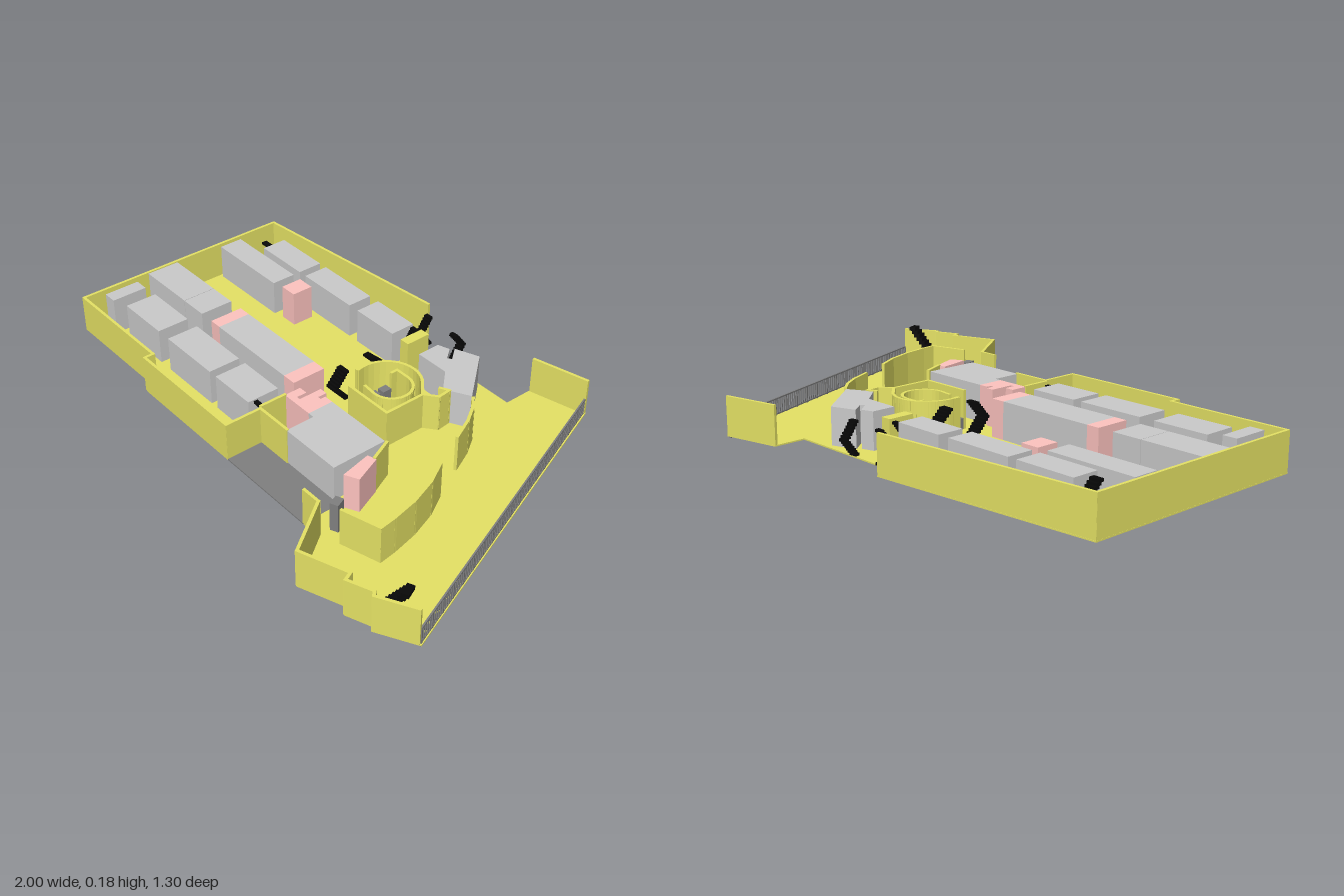
import * as THREE from 'three';

const mat = (color) => new THREE.MeshStandardMaterial({ color, flatShading: true });
const OLIVE = mat(0xe6e365), GREY = mat(0xcccccc), PINK = mat(0xffc4c0);
const DARK = mat(0x808080), BLACK = mat(0x080808);
const FLOOR = 0.02, TOP = 0.16, THICK = 0.011;

export function createModel() {
  const model = new THREE.Group();

  const add = (parent, name, geometry, material) => {
    const mesh = new THREE.Mesh(geometry, material);
    mesh.name = name;
    parent.add(mesh);
    return mesh;
  };

  // Upright block on a plan outline of [x, z] points
  const prism = (name, pts, y0, y1, material) => {
    const shape = new THREE.Shape(pts.map(([x, z]) => new THREE.Vector2(x, -z)));
    const geo = new THREE.ExtrudeGeometry(shape, { depth: y1 - y0, bevelEnabled: false });
    geo.rotateX(-Math.PI / 2).translate(0, y0, 0);
    return add(model, name, geo, material);
  };

  const block = (name, x0, x1, z0, z1, material, y0 = FLOOR, y1 = 0.156) => {
    const geo = new THREE.BoxGeometry(x1 - x0, y1 - y0, z1 - z0);
    geo.translate((x0 + x1) / 2, (y0 + y1) / 2, (z0 + z1) / 2);
    return add(model, name, geo, material);
  };

  // Thin wall following a plan path
  const wall = (name, pts, y1 = TOP, thick = THICK) => {
    const group = new THREE.Group();
    group.name = name;
    for (let i = 1; i < pts.length; i++) {
      const [ax, az] = pts[i - 1], [bx, bz] = pts[i];
      const length = Math.hypot(bx - ax, bz - az) + thick * 0.8;
      const m = add(group, name + 'Panel', new THREE.BoxGeometry(length, y1 - FLOOR, thick), OLIVE);
      m.position.set((ax + bx) / 2, (FLOOR + y1) / 2, (az + bz) / 2);
      m.rotation.y = -Math.atan2(bz - az, bx - ax);
    }
    model.add(group);
  };

  const arc = (cx, cz, r, from, to, n) => Array.from({ length: n + 1 }, (_, i) => {
    const a = THREE.MathUtils.degToRad(from + ((to - from) * i) / n);
    return [cx + r * Math.cos(a), cz + r * Math.sin(a)];
  });

  // Floor slab and dark entrance mat
  prism('floor', [
    [-1, -0.475], [-0.145, -0.555], [-0.145, -0.485], [0.34, -0.485], [0.34, -0.605], [0.555, -0.655],
    [0.995, 0.51], [0.86, 0.585], [0.85, 0.57], [0.76, 0.605], [0.75, 0.575], [0.58, 0.64],
    [0.45, 0.455], [0.38, 0.455], [0.38, 0.31], [-0.03, 0.31], [-0.03, 0.455], [-0.525, 0.455],
    [-0.525, 0.42], [-1, 0.42]], 0.015, FLOOR, OLIVE);
  block('entranceMat', -0.03, 0.38, 0.31, 0.455, DARK, 0.015, FLOOR);

  // Outer walls
  wall('leftOuterWall', [[-0.15, -0.549], [-0.994, -0.469], [-0.994, 0.415], [-0.525, 0.415],
    [-0.525, 0.45], [-0.035, 0.45], [-0.035, 0.31], [0.11, 0.31]]);
  wall('frontRightWall', [[0.38, 0.45], [0.45, 0.45], [0.58, 0.634], [0.75, 0.571], [0.763, 0.6],
    [0.85, 0.565], [0.863, 0.579], [0.985, 0.512]]);
  wall('backRightWall', [[0.345, -0.6], [0.55, -0.649]]);

  // Storage units: x0, x1, z0, z1
  [
    [-0.86, -0.63, -0.42, -0.32], [-0.595, -0.33, -0.42, -0.32], [-0.285, -0.09, -0.42, -0.32],
    [-0.975, -0.63, -0.29, -0.195],
    [-0.988, -0.745, 0.003, 0.135], [-0.743, -0.63, 0.003, 0.135], [-0.52, -0.135, 0.003, 0.135],
    [-0.85, -0.635, 0.195, 0.32], [-0.575, -0.315, 0.195, 0.32], [-0.28, -0.09, 0.195, 0.32],
  ].forEach((b) => block('storageUnit', ...b, GREY));
  block('sideUnit', -0.955, -0.9, 0.205, 0.345, GREY, 0.013, 0.164);

  // Pink end units
  [[-0.59, -0.52, -0.29, -0.205], [-0.57, -0.52, 0.003, 0.135], [-0.135, -0.08, 0.003, 0.135]]
    .forEach((b) => block('pinkUnit', ...b, PINK));
  prism('steppedPinkUnit', [[-0.045, 0.2], [-0.045, 0.135], [-0.01, 0.135], [-0.01, 0.175], [0.005, 0.175],
    [0.005, 0.085], [0.035, 0.085], [0.035, 0.12], [0.048, 0.12], [0.048, 0.1], [0.085, 0.1], [0.085, 0.2]],
  FLOOR, 0.156, PINK);
  prism('slantedPinkUnit', [[0.375, 0.19], [0.408, 0.18], [0.45, 0.285], [0.4, 0.31]], FLOOR, 0.156, PINK);

  // Large front room and its slanted screen
  prism('frontRoom', [[0.085, 0.1], [0.355, 0.1], [0.355, 0.312], [0.11, 0.312], [0.11, 0.2], [0.085, 0.2]],
    FLOOR, 0.156, GREY);
  wall('slantedScreen', [[0.365, 0.1], [0.4, 0.18]]);
  wall('innerPartition', [[-0.045, 0.2], [-0.045, 0.3]]);

  // Angular kiosk at the back
  prism('kiosk', [[0.065, -0.31], [0.065, -0.4], [0.11, -0.415], [0.145, -0.37], [0.16, -0.38], [0.12, -0.43],
    [0.21, -0.465], [0.36, -0.285], [0.27, -0.235], [0.2, -0.31]], 0.011, 0.156, GREY);
  wall('kioskScreen', [[0.26, -0.23], [0.29, -0.245], [0.295, -0.195], [0.25, -0.16]]);
  block('backPost', -0.045, -0.005, -0.42, -0.32, OLIVE);

  // Round counter with its enclosing wall
  wall('roundOuterWall', [...arc(0.12, -0.115, 0.12, 165, 315, 14), [0.25, -0.16], [0.25, 0], [0.06, 0]]);
  wall('roundCounter', [[0.08, -0.05], ...arc(0.135, -0.12, 0.075, 90, -90, 14), [0.08, -0.195], [0.08, -0.17]], 0.15);
  wall('roundEntry', [[0.0, -0.08], [0.0, -0.115]]);
  for (const z of [-0.143, -0.095]) block('seat', 0.06, 0.09, z - 0.018, z + 0.018, DARK, FLOOR, 0.09);
  block('counterStep', 0.055, 0.19, -0.018, -0.006, DARK, FLOOR, 0.06);

  // Free-standing curved screens
  wall('curvedScreen', [[0.37, -0.28], [0.41, -0.24], [0.45, -0.18], [0.49, -0.095]]);
  wall('curvedScreen', [[0.555, 0.04], [0.6, 0.12], [0.635, 0.22], [0.655, 0.32], [0.662, 0.38], [0.525, 0.42]]);
  const stand = add(model, 'stand', new THREE.BoxGeometry(0.03, 0.11, 0.04), DARK);
  stand.position.set(0.46, 0.075, 0.385);
  stand.rotation.y = 0.4;

  // Railing along the slanted right edge
  const railing = new THREE.Group();
  railing.name = 'railing';
  const a = new THREE.Vector2(0.55, -0.648), b = new THREE.Vector2(0.988, 0.508);
  const span = a.distanceTo(b);
  railing.position.set((a.x + b.x) / 2, 0, (a.y + b.y) / 2);
  railing.rotation.y = -Math.atan2(b.y - a.y, b.x - a.x);
  for (const y of [0.025, 0.082]) {
    add(railing, 'rail', new THREE.BoxGeometry(span, 0.005, 0.006), DARK).position.y = y;
  }
  const bars = 90;
  for (let i = 0; i <= bars; i++) {
    const post = i % 5 === 0;
    const h = post ? 0.076 : 0.06, w = post ? 0.006 : 0.004;
    add(railing, post ? 'post' : 'bar', new THREE.BoxGeometry(w, h, w), DARK)
      .position.set((i / bars - 0.5) * (span - 0.006), 0.084 - h / 2, 0);
  }
  model.add(railing);

  // Stair-stepped chevron markers; apex points along local +x
  const marker = (x, z, angle, reach, height, y, thick = 0.03) => {
    const group = new THREE.Group();
    group.name = 'chevronMarker';
    const steps = 6;
    for (let i = -steps; i <= steps; i++) {
      const s = add(group, 'chevronStep',
        new THREE.BoxGeometry(reach * 0.28, height / (2 * steps + 1) * 1.05, thick), BLACK);
      s.position.set(reach * 0.36 - reach * 0.72 * Math.abs(i) / steps, i * height / (2 * steps + 1), 0);
    }
    group.position.set(x, y, z);
    group.rotation.y = angle;
    model.add(group);
  };
  const q = Math.PI / 2;
  marker(-0.1, -0.485, -q, 0.055, 0.12, 0.09);
  marker(0.045, -0.517, q + 0.08, 0.06, 0.12, 0.09);
  marker(-0.89, -0.385, q, 0.075, 0.12, 0.09, 0.038);
  marker(-0.07, -0.39, -q, 0.055, 0.12, 0.09);
  marker(-0.045, -0.205, q, 0.08, 0.12, 0.09, 0.045);
  marker(-0.045, -0.03, -q, 0.065, 0.12, 0.09, 0.045);
  marker(-0.075, 0.27, q, 0.055, 0.12, 0.09);
  marker(0.89, 0.515, Math.PI + 0.42, 0.09, 0.18, 0.09, 0.045);

  return model;
}
